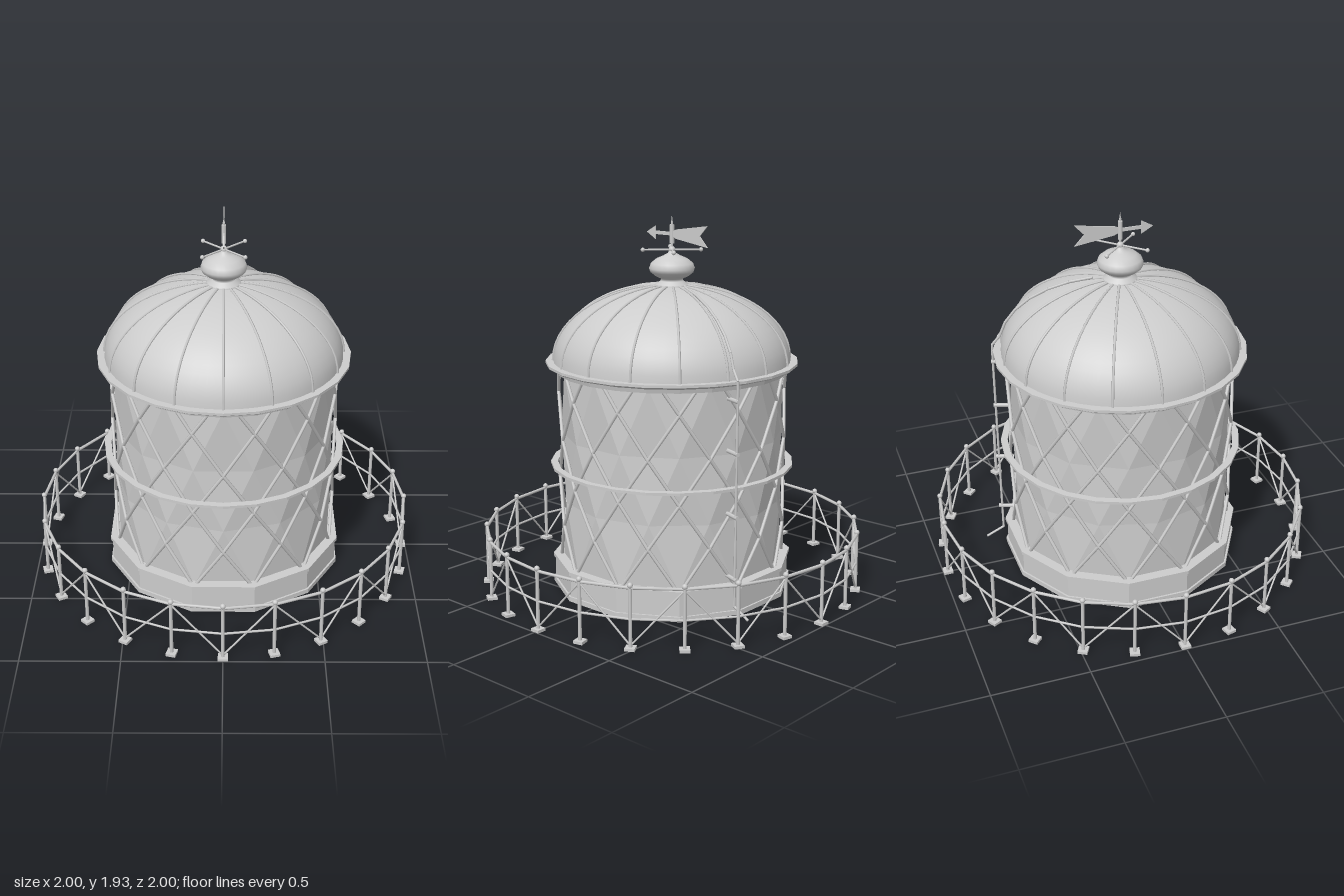
import * as THREE from 'three';

const metal = new THREE.MeshStandardMaterial({ color: 0xcccccc, side: THREE.DoubleSide });
metal.name = 'pale grey metal';

const V = (x, y, z) => new THREE.Vector3(x, y, z);
const rad = THREE.MathUtils.degToRad;
// point at an angle from the front, turning towards +x
const polar = (deg, r, y) => V(Math.sin(rad(deg)) * r, y, Math.cos(rad(deg)) * r);

function add(parent, name, geometry) {
  const mesh = new THREE.Mesh(geometry, metal);
  mesh.name = name;
  parent.add(mesh);
  return mesh;
}

function group(parent, name) {
  const g = new THREE.Group();
  g.name = name;
  parent.add(g);
  return g;
}

function bar(parent, name, a, b, r, sides = 6) {
  const mesh = add(parent, name, new THREE.CylinderGeometry(r, r, a.distanceTo(b), sides));
  mesh.position.copy(a).lerp(b, 0.5);
  mesh.quaternion.setFromUnitVectors(V(0, 1, 0), b.clone().sub(a).normalize());
  return mesh;
}

function ball(parent, name, p, r) {
  add(parent, name, new THREE.SphereGeometry(r, 10, 8)).position.copy(p);
}

function flat(geometry) {
  const g = geometry.toNonIndexed();
  g.computeVertexNormals();
  return g;
}

const lathe = (pts, sides, startDeg = 0) =>
  new THREE.LatheGeometry(pts.map(p => new THREE.Vector2(p[0], p[1])), sides, rad(startDeg));

// closed band with a rectangular section
const band = (r0, r1, y0, y1, sides, startDeg) =>
  flat(lathe([[r0, y0], [r1, y0], [r1, y1], [r0, y1], [r0, y0]], sides, startDeg));

// faceted wall: rows of triangles, each row turned by half a panel
function wallGeometry(r, y0, y1, sides, rows) {
  const pos = [];
  const step = 360 / sides;
  for (let k = 0; k < rows; k++) {
    const lo = y0 + (y1 - y0) * k / rows, hi = y0 + (y1 - y0) * (k + 1) / rows;
    for (let i = 0; i < sides; i++) {
      const t = i + k * 0.5 + 0.5;
      const a = polar(t * step, r, lo), b = polar((t + 1) * step, r, lo);
      const c = polar((t + 0.5) * step, r, hi), d = polar((t + 1.5) * step, r, hi);
      for (const p of [a, b, c, c, b, d]) pos.push(p.x, p.y, p.z);
    }
  }
  const g = new THREE.BufferGeometry();
  g.setAttribute('position', new THREE.Float32BufferAttribute(pos, 3));
  g.computeVertexNormals();
  return g;
}

// dome profile: quarter ellipse
const domePoint = (t, lift = 0) => [Math.cos(t) * (0.61 + lift), 1.19 + Math.sin(t) * (0.39 + lift)];

export function createModel() {
  const model = new THREE.Group();
  model.name = 'domedTank';

  // Drum, plinth and bands
  add(model, 'drumWall', wallGeometry(0.573, 0.13, 1.16, 12, 3));
  add(model, 'plinth', band(0.595, 0.618, 0, 0.14, 12, 15));
  add(model, 'plinthFoot', band(0.595, 0.628, 0, 0.025, 12, 15));
  add(model, 'plinthCap', band(0.56, 0.628, 0.138, 0.156, 12, 15));
  add(model, 'middleRing', band(0.597, 0.632, 0.648, 0.662, 24));

  // Crossed lattice struts around the drum
  const lattice = group(model, 'lattice');
  const y0 = 0.13, rise = 0.226;
  for (let i = 0; i < 12; i++) {
    for (const dir of [1, -1]) {
      for (let k = 0; k < 5; k++) {
        const end = Math.min(k + 1, 4.5);
        const start = 15 + i * 30;
        bar(lattice, 'latticeStrut',
          polar(start + dir * k * 15, 0.586, y0 + k * rise),
          polar(start + dir * end * 15, 0.586, y0 + end * rise), 0.009);
      }
    }
  }

  // Eaves
  add(model, 'eaves', flat(lathe([[0.565, 1.145], [0.6, 1.145], [0.605, 1.165], [0.64, 1.175],
    [0.65, 1.182], [0.65, 1.195], [0.6, 1.195]], 24)));

  // Dome and its ribs
  const tEnd = 1.46;
  const profile = [];
  for (let i = 0; i <= 14; i++) profile.push(domePoint(tEnd * i / 14));
  add(model, 'dome', lathe(profile, 48));
  const ribs = group(model, 'domeRibs');
  for (let i = 0; i < 16; i++) {
    const path = [];
    for (let j = 0; j <= 8; j++) {
      const [r, y] = domePoint(tEnd * j / 8, 0.003);
      path.push(polar(i * 22.5, r, y));
    }
    add(ribs, 'domeRib', new THREE.TubeGeometry(new THREE.CatmullRomCurve3(path), 16, 0.007, 5));
  }

  // Finial bulb
  const bulb = [[0.085, 1.572], [0.085, 1.585], [0.058, 1.6], [0.056, 1.612], [0.085, 1.625], [0.11, 1.645],
    [0.117, 1.665], [0.108, 1.69], [0.08, 1.713], [0.045, 1.728], [0.02, 1.742], [0.012, 1.765]];
  add(model, 'finial', lathe(bulb, 24));

  // Weather vane with cross arms
  const vane = group(model, 'weatherVane');
  bar(vane, 'vaneRod', V(0, 1.74, 0), V(0, 1.9, 0), 0.006, 8);
  bar(vane, 'vaneHub', V(0, 1.79, 0), V(0, 1.885, 0), 0.012, 10);
  add(vane, 'vaneSpike', new THREE.ConeGeometry(0.006, 0.05, 8)).position.y = 1.91;
  ball(vane, 'crossHub', V(0, 1.758, 0), 0.018);
  for (let i = 0; i < 4; i++) {
    const tip = polar(45 + i * 90, 0.148, 1.758);
    bar(vane, 'crossArm', V(0, 1.758, 0), tip, 0.005);
    ball(vane, 'crossArmKnob', tip, 0.011);
  }
  const arrow = new THREE.Shape([[0.17, 0], [0.11, 0.034], [0.11, 0.009], [0, 0.009], [-0.03, 0.024], [-0.235, 0.054],
    [-0.185, 0], [-0.235, -0.054], [-0.03, -0.024], [0, -0.009], [0.11, -0.009], [0.11, -0.034]]
    .map(p => new THREE.Vector2(p[0], p[1])));
  const plate = add(vane, 'vaneArrow', new THREE.ExtrudeGeometry(arrow, { depth: 0.006, bevelEnabled: false }));
  plate.rotation.y = -Math.PI / 2;
  plate.position.set(0.003, 1.838, 0);

  // Conductor running down the back of the dome and drum
  const conductor = group(model, 'conductor');
  const angle = 160;
  const run = [];
  for (let t = 1.35; t > 0.05; t -= 0.2) {
    const [r, y] = domePoint(t, 0.012);
    run.push(polar(angle, r, y));
  }
  run.push(polar(angle, 0.655, 1.2), polar(angle, 0.657, 1.16));
  run.push(polar(angle, 0.645, 0.06), polar(angle + 2, 0.735, 0.012));
  for (let i = 1; i < run.length; i++) bar(conductor, 'conductorRun', run[i - 1], run[i], 0.007);
  for (const y of [0.2, 0.52, 0.84, 1.1])
    bar(conductor, 'conductorBracket', polar(angle, 0.57, y), polar(angle, 0.665, y), 0.011);

  // Central column and vessel inside the drum
  bar(model, 'innerColumn', V(0, 0, 0), V(0, 0.2, 0), 0.08, 20);
  bar(model, 'innerVessel', V(0, 0.18, 0), V(0, 0.5, 0), 0.19, 20);

  // Ring fence with zigzag braces
  const fence = group(model, 'fence');
  const R = 0.975;
  for (let i = 0; i < 24; i++) {
    const a = i * 15, b = a + 15;
    bar(fence, 'fencePost', polar(a, R, 0), polar(a, R, 0.315), 0.009, 8);
    ball(fence, 'fenceKnob', polar(a, R, 0.318), 0.014);
    const foot = add(fence, 'fenceFoot', new THREE.BoxGeometry(0.05, 0.014, 0.05));
    foot.position.copy(polar(a, R, 0.007));
    foot.rotation.y = rad(a);
    bar(fence, 'topRail', polar(a, R, 0.306), polar(b, R, 0.306), 0.008);
    bar(fence, 'middleRail', polar(a, R, 0.152), polar(b, R, 0.152), 0.006);
    const low = i % 2 === 0;
    bar(fence, 'fenceBrace', polar(a, R, low ? 0.02 : 0.3), polar(b, R, low ? 0.3 : 0.02), 0.005);
  }
  return model;
}
